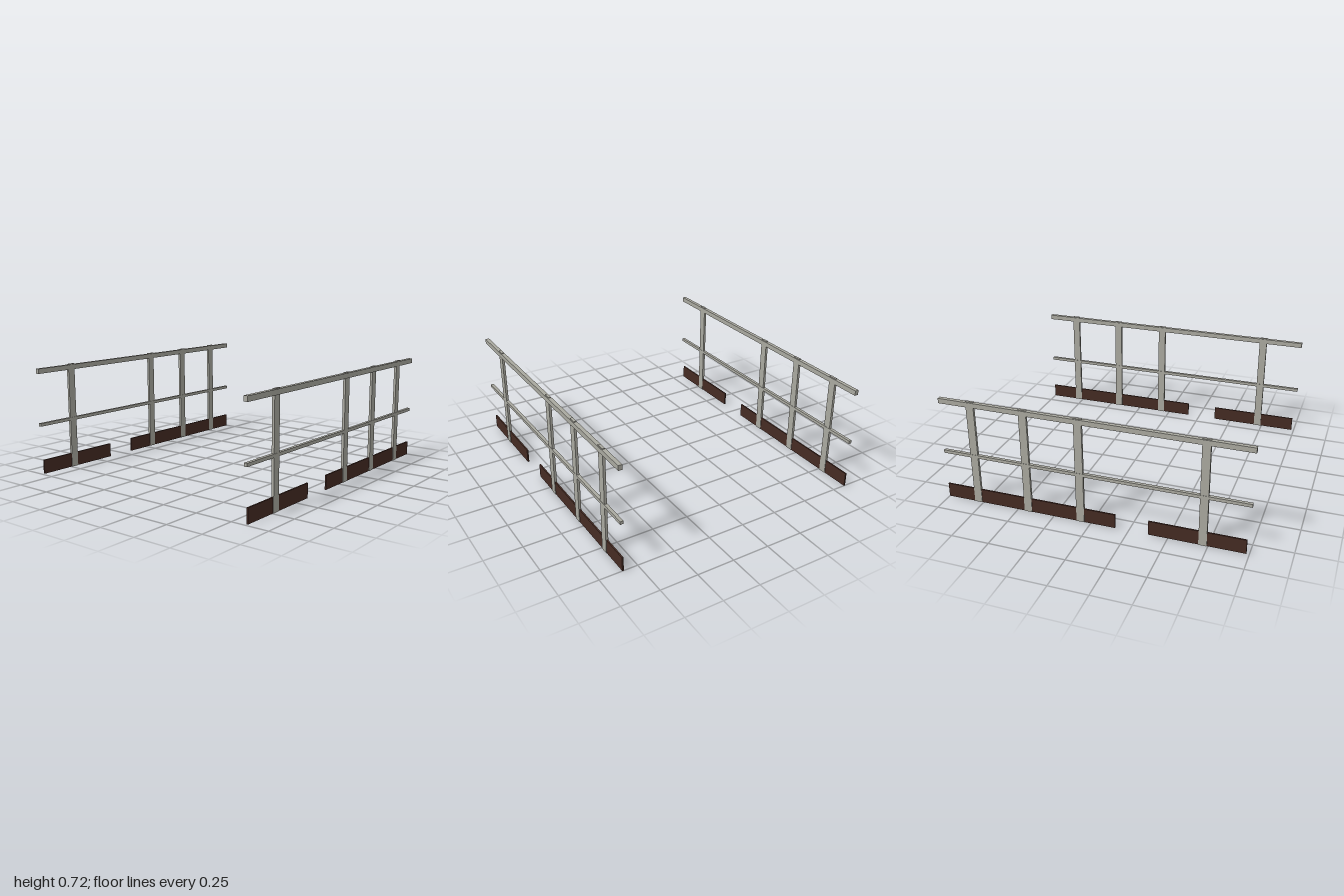
import * as THREE from 'three';

export function createModel() {
  const model = new THREE.Group();
  model.name = 'railings';

  const steel = new THREE.MeshStandardMaterial({ color: 0xaaa9a0 });
  steel.name = 'warm grey steel';
  const timber = new THREE.MeshStandardMaterial({ color: 0x452b23 });
  timber.name = 'dark brown';

  // Box given by its x and y extents and its depth, centred on z = 0
  const bar = (name, material, x0, x1, y0, y1, depth) => {
    const mesh = new THREE.Mesh(new THREE.BoxGeometry(x1 - x0, y1 - y0, depth), material);
    mesh.position.set((x0 + x1) / 2, (y0 + y1) / 2, 0);
    mesh.name = name;
    return mesh;
  };

  const createRailing = (name, z) => {
    const railing = new THREE.Group();
    railing.name = name;
    railing.position.z = z;

    // Horizontal rails
    railing.add(bar('topRail', steel, -1, 1, 0.678, 0.711, 0.026));
    railing.add(bar('middleRail', steel, -1, 1, 0.326, 0.347, 0.021));

    // Upright posts, rising slightly above the top rail
    for (const x of [-0.717, 0.068, 0.427, 0.784]) {
      railing.add(bar('post', steel, x - 0.026, x + 0.026, 0, 0.716, 0.017));
    }

    // Kick boards with a gap between them
    railing.add(bar('shortKickBoard', timber, -0.982, -0.376, 0, 0.095, 0.01));
    railing.add(bar('longKickBoard', timber, -0.161, 1, 0, 0.095, 0.01));
    return railing;
  };

  model.add(createRailing('frontRailing', 0.846));
  model.add(createRailing('backRailing', -0.846));
  return model;
}
